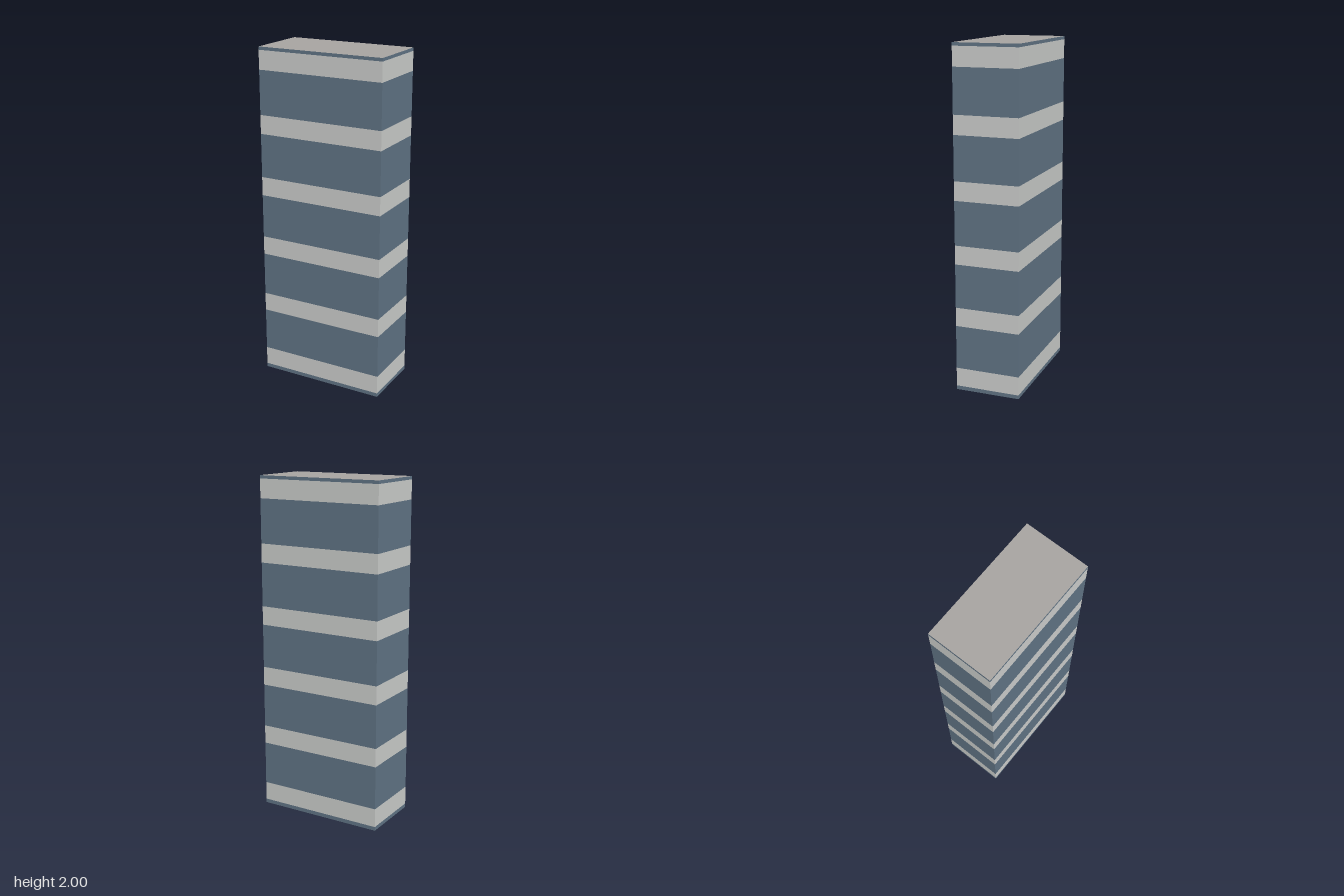
import * as THREE from 'three';

const WIDTH = 0.767, DEPTH = 0.384, HEIGHT = 2;
const FLOORS = 6, PITCH = 0.3695, BASE = 0.023, SPANDREL = 0.111;

// Four thin walls between two heights, open at top and bottom
function wallRing(y0, y1) {
  const geo = new THREE.BoxGeometry(WIDTH, y1 - y0, DEPTH);
  const index = Array.from(geo.index.array);
  geo.setIndex([...index.slice(0, 12), ...index.slice(24)]);
  geo.clearGroups();
  return geo.translate(0, (y0 + y1) / 2, 0);
}

export function createModel() {
  const model = new THREE.Group();
  model.name = 'officeTower';

  const material = (name, color) => {
    const m = new THREE.MeshStandardMaterial({ color, side: THREE.DoubleSide });
    m.name = name;
    return m;
  };
  const glass = material('blueGlass', 0x5f7283);
  const concrete = material('paleConcrete', 0xc9cbc9);
  const roofing = material('warmGreyRoof', 0xa7a3a0);

  const add = (name, geo, mat) => {
    const mesh = new THREE.Mesh(geo, mat);
    mesh.name = name;
    model.add(mesh);
  };

  // Alternating window and concrete bands, from the ground up
  let y = 0;
  for (let i = 0; i < FLOORS; i++) {
    const bottom = BASE + i * PITCH;
    add(`windowBand${i + 1}`, wallRing(y, bottom), glass);
    y = bottom + SPANDREL;
    add(`concreteBand${i + 1}`, wallRing(bottom, y), concrete);
  }
  add('topEdgeBand', wallRing(y, HEIGHT), glass);

  // Flat roof
  const roof = new THREE.PlaneGeometry(WIDTH, DEPTH).rotateX(-Math.PI / 2);
  add('roof', roof.translate(0, HEIGHT, 0), roofing);

  return model;
}
